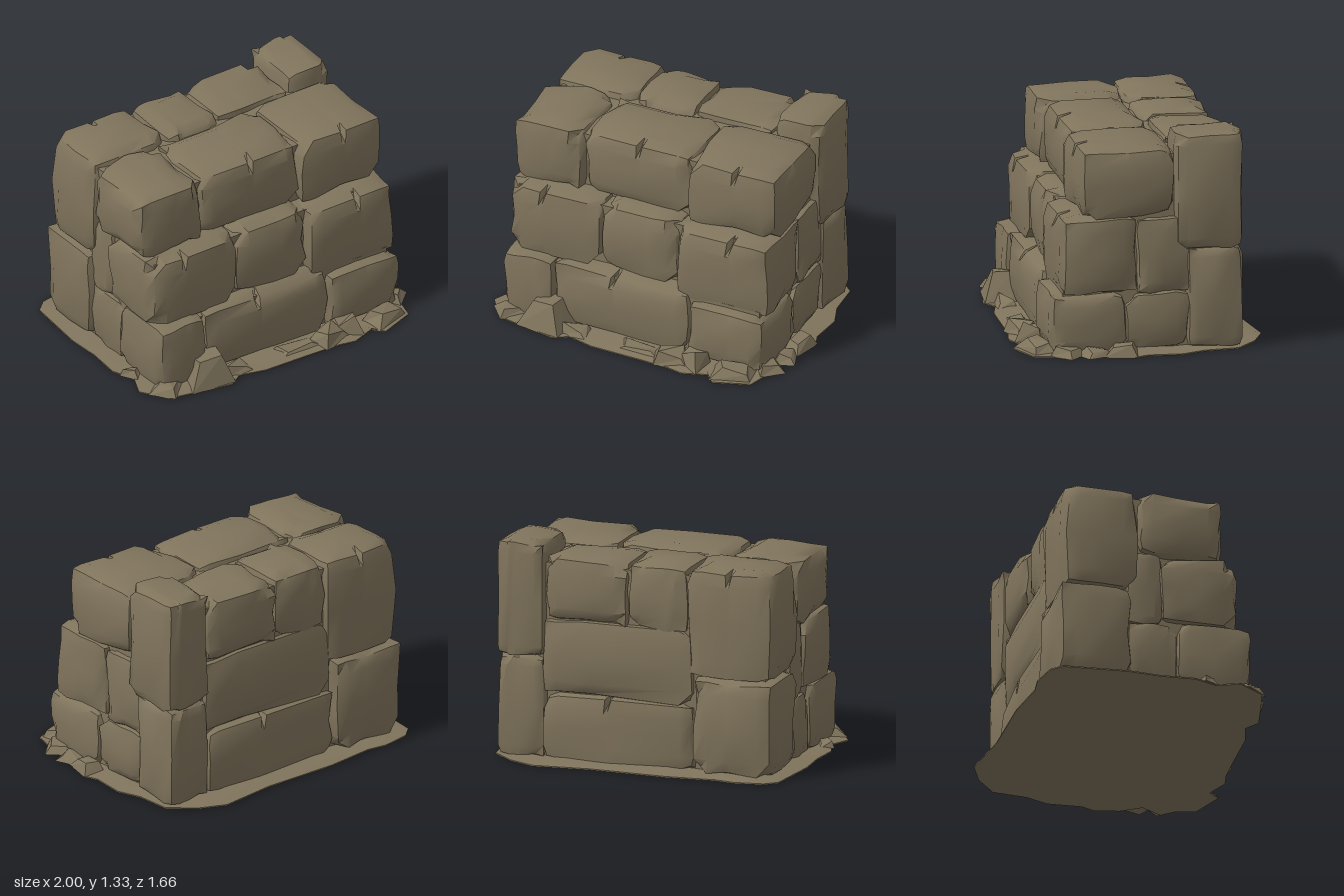
import * as THREE from 'three';
import { toCreasedNormals } from 'three/addons/utils/BufferGeometryUtils.js';

// Repeatable pseudo-random value from -1 to 1
function hash(a, b, c, seed) {
  const s = Math.sin(a * 12.9898 + b * 78.233 + c * 37.719 + seed * 4.137) * 43758.5453;
  return (s - Math.floor(s)) * 2 - 1;
}

// Worn block between two corners, with softened edges and a crack running down from the top edge.
// face is 1 for a crack on the front, -1 on the back, 0 for none.
function stoneGeometry([x0, x1, y0, y1, z0, z1], face, seed) {
  const hx = (x1 - x0) / 2, hy = (y1 - y0) / 2, hz = (z1 - z0) / 2;
  const bevel = Math.min(0.1, hx * 0.45, hy * 0.45, hz * 0.45);
  const n = hash(1, 2, 3, seed) * (hx - bevel) * 0.55;
  const w = 0.02;
  const steps = (h) => [-h, -h + bevel, 0, h - bevel, h];
  const xs = [-hx, -hx + bevel, n - w, n, n + w, hx - bevel, hx];
  const ys = steps(hy), zs = steps(hz);
  const geo = new THREE.BoxGeometry(2, 2, 2, 6, 4, 4);
  const p = geo.attributes.position;
  for (let v = 0; v < p.count; v++) {
    const i = Math.round((p.getX(v) + 1) * 3);
    const j = Math.round((p.getY(v) + 1) * 2);
    const k = Math.round((p.getZ(v) + 1) * 2);
    const column = i > 1 && i < 5 ? 3 : i; // the crack's three columns move together
    const ends = [i % 6 === 0, j % 4 === 0, k % 4 === 0];
    const count = ends.filter(Boolean).length;
    // Edges and corners are worn back, faces stay nearly flat
    const wear = [0, 0, 0.24, 0.38][count] * bevel * (1 + 0.55 * hash(column, j, k, seed));
    let x = xs[i], y = ys[j], z = zs[k];
    if (ends[0]) x -= Math.sign(x) * wear;
    if (ends[1]) y -= Math.sign(y) * wear;
    if (ends[2]) z -= Math.sign(z) * wear;
    if (face && i === 3 && j === 4 && k === (face > 0 ? 4 : 0)) {
      y -= 0.025;
      z -= face * 0.03;
    }
    x += 0.006 * hash(column, j, k, seed + 11);
    y += 0.006 * hash(column, j, k, seed + 23);
    z += 0.006 * hash(column, j, k, seed + 37);
    p.setXYZ(v, x + (x0 + x1) / 2, y + (y0 + y1) / 2, z + (z0 + z1) / 2);
  }
  return toCreasedNormals(geo, 0.7);
}

// Thin slab of earth with an irregular outline and a flat underside
function groundGeometry() {
  const outline = [
    [-0.78, -0.78], [-0.7, -0.83], [-0.52, -0.83], [-0.4, -0.79], [-0.1, -0.77], [0.37, -0.68],
    [0.72, -0.66], [0.87, -0.56], [0.99, -0.41], [0.97, -0.2], [1, -0.05], [0.95, 0.15],
    [0.97, 0.24], [0.91, 0.38], [0.81, 0.48], [0.86, 0.62], [0.78, 0.68], [0.73, 0.79],
    [0.5, 0.83], [0.47, 0.75], [0.3, 0.78], [0.2, 0.74], [0.03, 0.7], [-0.3, 0.63],
    [-0.45, 0.56], [-0.55, 0.6], [-0.75, 0.52], [-0.92, 0.45], [-1, 0.27], [-0.92, 0.15],
    [-0.95, 0], [-0.9, -0.2], [-0.88, -0.4],
  ];
  const rings = [[0, 0.006], [1, 0.006], [1, 0.014], [0.88, 0.03], [0, 0.035]];
  const N = outline.length, pos = [], index = [];
  rings.forEach(([s, y], r) => outline.forEach(([x, z], i) => {
    pos.push(x * s, y + (r === 3 ? 0.01 * hash(i, r, 0, 5) : 0), z * s);
    if (r === rings.length - 1) return;
    const a = r * N + i, b = r * N + (i + 1) % N, c = a + N, d = b + N;
    if (r > 0) index.push(a, c, b);
    if (r < rings.length - 2) index.push(b, c, d);
  }));
  const geo = new THREE.BufferGeometry();
  geo.setAttribute('position', new THREE.Float32BufferAttribute(pos, 3));
  geo.setIndex(index);
  return toCreasedNormals(geo, 0.5);
}

// Angular chunk: a skewed block that narrows and tilts at the top
function chunkGeometry(w, h, d, seed) {
  const geo = new THREE.BoxGeometry(2, 1, 2).toNonIndexed();
  const p = geo.attributes.position;
  for (let v = 0; v < p.count; v++) {
    const a = p.getX(v), top = p.getY(v) > 0, c = p.getZ(v);
    const s = (top ? 0.6 : 1) + 0.18 * hash(a, top ? 1 : 0, c, seed);
    p.setXYZ(v, a * w * s, top ? h * (0.75 + 0.25 * hash(a, 2, c, seed)) : 0.012, c * d * s);
  }
  geo.computeVertexNormals();
  return geo;
}

export function createModel() {
  const model = new THREE.Group();
  model.name = 'stoneWall';
  const stone = new THREE.MeshStandardMaterial({ color: 0x80745c });
  stone.name = 'weatheredStone';
  const add = (parent, name, geo) => {
    const mesh = new THREE.Mesh(geo, stone);
    mesh.name = name;
    parent.add(mesh);
    return mesh;
  };

  // Blocks, laid in a frame turned slightly about the vertical: x, y, z ranges and crack side
  const blocks = new THREE.Group();
  blocks.name = 'blocks';
  blocks.rotation.y = -0.175;
  model.add(blocks);
  const layout = [
    // bottom course
    ['bottomFrontCornerRight', [-0.84, -0.505, 0.01, 0.425, 0.08, 0.54], 0],
    ['bottomFrontLong', [-0.52, 0.385, 0.01, 0.435, 0.1, 0.525], 1],
    ['bottomFrontCornerLeft', [0.37, 0.88, 0.01, 0.38, 0.085, 0.55], 0],
    ['bottomLeftSide', [0.5, 0.87, 0.01, 0.37, -0.295, 0.1], 0],
    ['bottomRightSide', [-0.83, -0.45, 0.01, 0.405, -0.225, 0.1], 0],
    ['bottomBackLong', [-0.37, 0.6, 0.01, 0.425, -0.62, -0.2], -1],
    // middle course
    ['middleFrontCornerRight', [-0.85, -0.225, 0.405, 0.855, -0.025, 0.465], 1],
    ['middleFrontCentre', [-0.245, 0.285, 0.415, 0.855, 0, 0.455], 0],
    ['middleFrontCornerLeft', [0.265, 0.885, 0.365, 0.84, 0.015, 0.485], 1],
    ['middleLeftSide', [0.5, 0.87, 0.35, 0.82, -0.295, 0.035], 0],
    ['middleRightSide', [-0.825, -0.45, 0.385, 0.855, -0.225, 0], 0],
    ['middleBackLong', [-0.35, 0.615, 0.405, 0.875, -0.6, -0.2], 0],
    // top course
    ['topFrontCornerRight', [-0.865, -0.405, 0.83, 1.245, -0.165, 0.36], 0],
    ['topFrontCentre', [-0.415, 0.305, 0.83, 1.25, -0.16, 0.335], 1],
    ['topFrontCornerLeft', [0.29, 0.88, 0.82, 1.25, -0.205, 0.37], 1],
    ['topBackRight', [-0.32, 0.075, 0.845, 1.255, -0.59, -0.145], 0],
    ['topBackLeft', [0.06, 0.6, 0.845, 1.25, -0.605, -0.18], 0],
    // tall corner blocks at the back
    ['backCornerRightLower', [-0.865, -0.35, 0.01, 0.605, -0.645, -0.19], 0],
    ['backCornerRightUpper', [-0.855, -0.305, 0.59, 1.26, -0.61, -0.15], -1],
    ['backCornerLeftLower', [0.58, 0.885, 0.01, 0.635, -0.61, -0.27], 0],
    ['backCornerLeftUpper', [0.585, 0.895, 0.615, 1.325, -0.61, -0.2], 0],
  ];
  layout.forEach(([name, range, face], i) => add(blocks, name, stoneGeometry(range, face, i + 3)));

  // Mortar fill that closes the joints behind the blocks
  [[0.012, 0.4, 0.47], [0.38, 0.82, 0.4], [0.8, 1.2, 0.28]].forEach(([y0, y1, front], i) => {
    const back = -0.555;
    const geo = new THREE.BoxGeometry(1.62, y1 - y0, front - back);
    geo.translate(0.015, (y0 + y1) / 2, (front + back) / 2);
    add(blocks, 'jointFill' + (i + 1), geo);
  });

  // Ground and fallen chunks: x, z, half width, height, half depth, turn
  add(model, 'ground', groundGeometry());
  const rubble = [
    [-0.62, 0.45, 0.14, 0.25, 0.11, -0.3], [-0.85, 0.36, 0.1, 0.08, 0.08, 0.5],
    [-0.45, 0.5, 0.11, 0.08, 0.06, -0.2], [0.2, 0.66, 0.1, 0.11, 0.07, 0.1],
    [0.34, 0.65, 0.09, 0.13, 0.08, -0.5], [0.6, 0.72, 0.12, 0.09, 0.07, 0.1],
    [0.78, 0.59, 0.07, 0.1, 0.07, 0.6], [0.88, 0.29, 0.06, 0.12, 0.09, -0.4],
    [0.84, 0.44, 0.06, 0.07, 0.08, 0.2], [-0.89, 0.1, 0.05, 0.06, 0.06, 0.4],
    [0, 0.6, 0.16, 0.05, 0.06, -0.2],
  ];
  rubble.forEach(([x, z, w, h, d, turn], i) => {
    const chunk = add(model, 'rubble' + (i + 1), chunkGeometry(w, h, d, i + 1));
    chunk.position.set(x, 0, z);
    chunk.rotation.y = turn;
  });

  return model;
}
